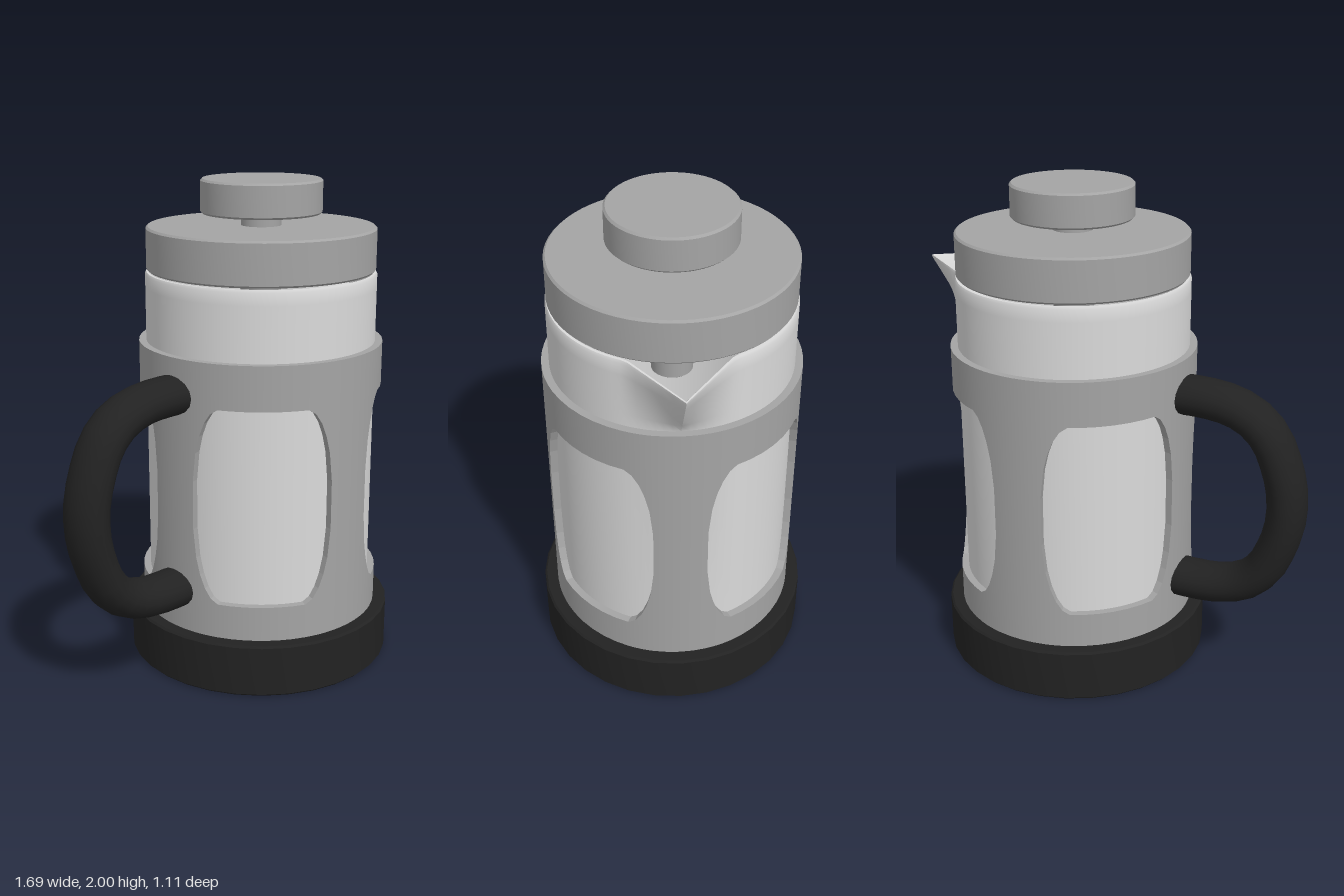
import * as THREE from 'three';
import { toCreasedNormals } from 'three/addons/utils/BufferGeometryUtils.js';

const CX = 0.167; // axis of the pot body
const rad = THREE.MathUtils.degToRad;

const metal = new THREE.MeshStandardMaterial({ name: 'brushed metal', color: 0xa4a4a4 });
const glass = new THREE.MeshStandardMaterial({ name: 'pale glass', color: 0xdadada });
const black = new THREE.MeshStandardMaterial({ name: 'black plastic', color: 0x222222 });

function part(name, geometry, material) {
  const mesh = new THREE.Mesh(geometry, material);
  mesh.name = name;
  return mesh;
}

function lathe(points, segments) {
  return new THREE.LatheGeometry(points.map(([x, y]) => new THREE.Vector2(x, y)), segments);
}

// Solid disc with small chamfers
function disc(name, r, y0, y1, material, segments = 64, b = 0.008) {
  const g = lathe([[0, y0], [r - b, y0], [r, y0 + b], [r, y1 - b], [r - b, y1], [0, y1]], segments);
  return part(name, toCreasedNormals(g, rad(35)), material);
}

// Hollow beaker whose rim is pulled out into a pointed spout on +x
function beakerGeometry() {
  const heights = [1.355, 1.41, 1.465, 1.52, 1.575, 1.625];
  const g = lathe([
    [0, 0.2], [0.47, 0.2],
    ...heights.map(y => [0.47, y]),
    [0.465, 1.635], [0.455, 1.635],
    ...heights.slice().reverse().map(y => [0.45, y]),
    [0.45, 0.25], [0, 0.25],
  ], 96);
  const p = g.attributes.position;
  for (let i = 0; i < p.count; i++) {
    const x = p.getX(i), y = p.getY(i), z = p.getZ(i);
    const r = Math.hypot(x, z);
    if (r < 0.4 || y < 1.355) continue;
    const a = Math.abs(Math.atan2(z, x));
    if (a > rad(40)) continue;
    const t = (y - 1.355) / 0.28;
    const reach = Math.max(0, 0.678 / (Math.cos(a) + 1.29 * Math.sin(a)) - 0.47);
    const k = (r + t * reach) / r;
    p.setX(i, x * k);
    p.setZ(i, z * k);
  }
  return toCreasedNormals(g, rad(40));
}

// Cylindrical sleeve with four rounded window openings
function sleeveGeometry() {
  const R = 0.5, RI = 0.468, Y0 = 0.2, Y1 = 1.355, YM = 0.77;
  const pos = [], nor = [];
  const P = (a, y, r) => new THREE.Vector3(r * Math.cos(rad(a)), y, -r * Math.sin(rad(a)));
  const quad = (pts, smooth = false) => {
    const flat = pts[1].clone().sub(pts[0]).cross(pts[2].clone().sub(pts[0])).normalize();
    for (const i of [0, 1, 2, 0, 2, 3]) {
      pos.push(...pts[i].toArray());
      nor.push(...(smooth ? new THREE.Vector3(pts[i].x, 0, pts[i].z).normalize() : flat).toArray());
    }
  };
  const wall = (a0, a1, lo0, lo1, hi0, hi1) =>
    quad([P(a0, lo0, R), P(a1, lo1, R), P(a1, hi1, R), P(a0, hi0, R)], true);
  const ledge = (a0, a1, y0, y1, up) => {
    const pts = [P(a0, y0, R), P(a1, y1, R), P(a1, y1, RI), P(a0, y0, RI)];
    quad(up ? pts : pts.reverse());
  };
  const jamb = (a, h, right) => {
    const pts = [P(a, YM - h, RI), P(a, YM - h, R), P(a, YM + h, R), P(a, YM + h, RI)];
    quad(right ? pts : pts.reverse());
  };
  // Half window outline: angle from its centre, half height
  const half = [[0, 0.405], [7, 0.405], [14, 0.405], [20.5, 0.405], [24, 0.385],
    [27, 0.345], [29.5, 0.29], [31.5, 0.22], [33, 0.1]];
  const outline = [...half.slice(1).reverse().map(([a, h]) => [-a, h]), ...half];

  for (let q = 0; q < 4; q++) {
    const c = 45 + q * 90;
    for (let i = 0; i < outline.length - 1; i++) {
      const [d0, h0] = outline[i], [d1, h1] = outline[i + 1];
      const a0 = c + d0, a1 = c + d1;
      wall(a0, a1, Y0, Y0, YM - h0, YM - h1);
      wall(a0, a1, YM + h0, YM + h1, Y1, Y1);
      ledge(a0, a1, YM - h0, YM - h1, true);
      ledge(a0, a1, YM + h0, YM + h1, false);
      ledge(a0, a1, Y1, Y1, true);
    }
    jamb(c - 33, 0.1, false);
    jamb(c + 33, 0.1, true);
    // Solid post between neighbouring windows
    for (let d = 33; d < 57; d += 6) {
      wall(c + d, c + d + 6, Y0, Y0, Y1, Y1);
      ledge(c + d, c + d + 6, Y1, Y1, true);
    }
  }
  const g = new THREE.BufferGeometry();
  g.setAttribute('position', new THREE.Float32BufferAttribute(pos, 3));
  g.setAttribute('normal', new THREE.Float32BufferAttribute(nor, 3));
  return g;
}

// D-shaped handle with an oval section, mirrored about its middle height
function handleGeometry() {
  const top = [[-0.3, 1.203], [-0.42, 1.203], [-0.52, 1.19], [-0.61, 1.155],
    [-0.685, 1.085], [-0.735, 0.98], [-0.763, 0.88]];
  const path = [...top, [-0.77, 0.797], ...top.slice().reverse().map(([x, y]) => [x, 1.594 - y])];
  const curve = new THREE.CatmullRomCurve3(path.map(([x, y]) => new THREE.Vector3(x, y, 0)));
  return new THREE.TubeGeometry(curve, 22, 0.079, 16).scale(1, 1, 1.27);
}

export function createModel() {
  const model = new THREE.Group();
  model.name = 'coffeePress';

  const body = new THREE.Group();
  body.name = 'body';
  body.position.x = CX;
  body.add(
    disc('base', 0.555, 0, 0.22, black, 32),
    part('windowedSleeve', sleeveGeometry(), metal),
    part('spoutedBeaker', beakerGeometry(), glass),
    disc('lid', 0.465, 1.64, 1.815, metal),
    disc('plungerStem', 0.082, 1.3, 1.87, metal, 32, 0.002),
    disc('plungerKnob', 0.245, 1.863, 2, metal),
  );
  model.add(body, part('handle', handleGeometry(), black));
  return model;
}
